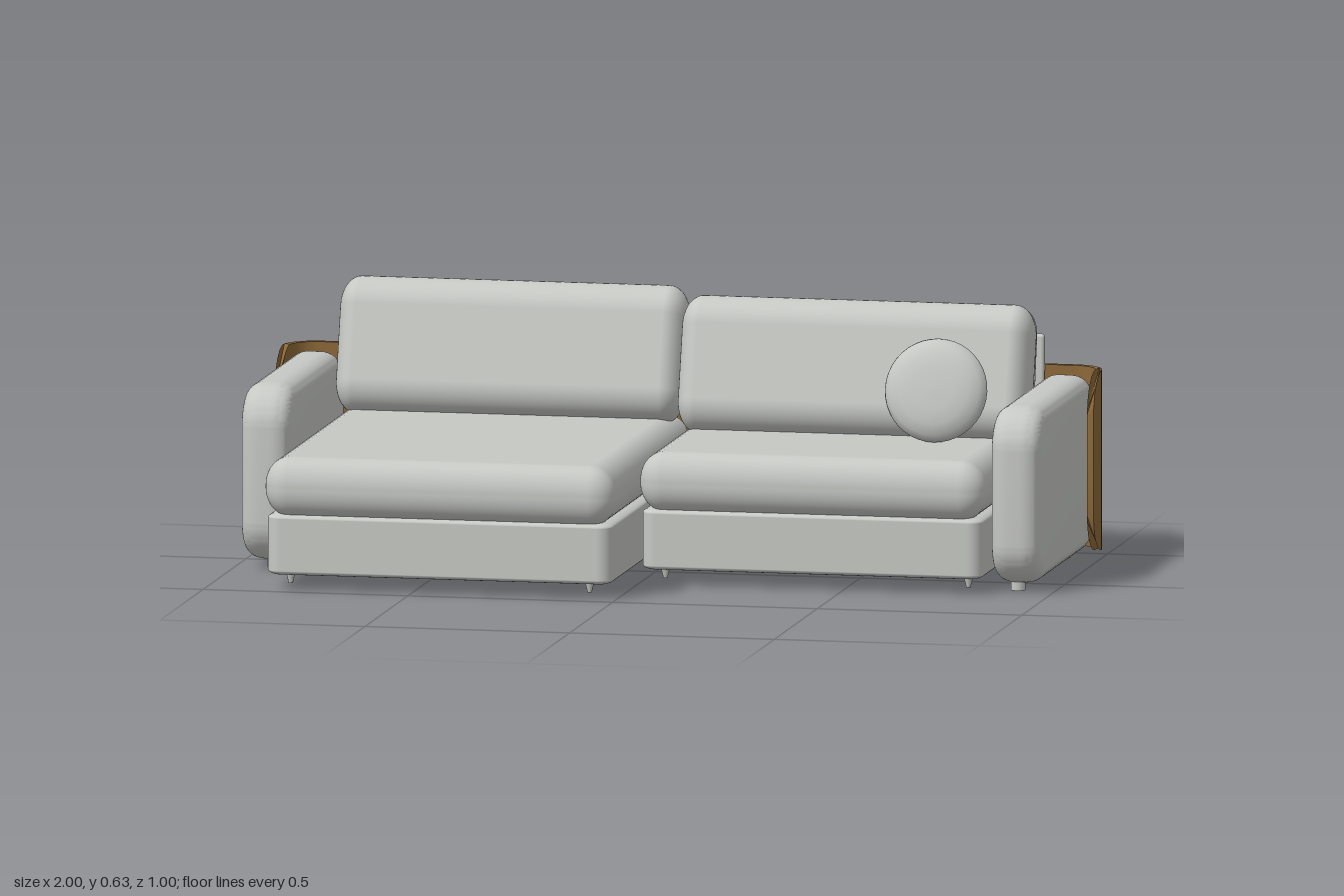
import * as THREE from 'three';
import { toCreasedNormals } from 'three/addons/utils/BufferGeometryUtils.js';
import { RoundedBoxGeometry } from 'three/addons/geometries/RoundedBoxGeometry.js';

// Box with a separate rounding radius along each axis
function softBox(w, h, d, rx, ry, rz) {
  return new RoundedBoxGeometry(w / rx, h / ry, d / rz, 6, 1).scale(rx, ry, rz);
}

// Armrest: rounded side profile, extruded across with a soft bevel
function armGeometry(width, height, depth, r) {
  const b = 0.036, w = depth / 2 - b, h = height / 2 - b, q = r - b;
  const s = new THREE.Shape();
  s.absarc(w - q, h - q, q, 0, Math.PI / 2);
  s.absarc(-w + q, h - q, q, Math.PI / 2, Math.PI);
  s.absarc(-w + q, -h + q, q, Math.PI, Math.PI * 1.5);
  s.absarc(w - q, -h + q, q, Math.PI * 1.5, Math.PI * 2);
  const t = 0.045;
  const g = new THREE.ExtrudeGeometry(s, {
    depth: width - 2 * t, bevelThickness: t, bevelSize: b, bevelSegments: 8, curveSegments: 10,
  });
  g.translate(0, 0, -(width - 2 * t) / 2).rotateY(-Math.PI / 2);
  return toCreasedNormals(g, 0.7);
}

// Half of the wooden back shell: a thin plan that wraps round the corner
function shellGeometry(side) {
  const back = -0.505, tip = -0.335, R = 0.08, T = 0.016, round = 0.095;
  const outer = [], inner = [];
  const add = (x, z, nx, nz) => {
    outer.push(new THREE.Vector2(side * x, z));
    inner.unshift(new THREE.Vector2(side * (x - nx * T), z - nz * T));
  };
  add(0.005, back, 0, -1);
  for (let i = 0; i <= 8; i++) {
    const a = (i / 8) * Math.PI / 2;
    add(1 - R + R * Math.sin(a), back + R - R * Math.cos(a), Math.sin(a), -Math.cos(a));
  }
  for (let i = 1; i <= 10; i++) {
    add(1, back + R + (tip - back - R) * Math.sin((i / 10) * Math.PI / 2), 1, 0);
  }
  const height = 0.435;
  const g = new THREE.ExtrudeGeometry(new THREE.Shape([...outer, ...inner]), { depth: height, bevelEnabled: false });
  g.rotateX(Math.PI / 2).translate(0, height / 2, 0);
  // Round the free upper and lower corners of the wrapped end
  const p = g.attributes.position;
  for (let i = 0; i < p.count; i++) {
    const u = Math.min(1, Math.max(0, (p.getZ(i) - tip + round) / round));
    const inset = round * (1 - Math.sqrt(1 - u * u));
    p.setY(i, Math.sign(p.getY(i)) * (height / 2 - inset));
  }
  g.translate(0, 0.02 + height / 2, 0);
  return toCreasedNormals(g, 0.6);
}

export function createModel() {
  const model = new THREE.Group();
  model.name = 'sofa';
  const fabric = new THREE.MeshStandardMaterial({ color: 0xc6c8c4 });
  fabric.name = 'light grey fabric';
  const wood = new THREE.MeshStandardMaterial({ color: 0x8c6839 });
  wood.name = 'brown wood';

  const add = (name, geometry, material, x, y, z, lean = 0) => {
    const m = new THREE.Mesh(geometry, material);
    m.name = name;
    m.position.set(x, y, z);
    m.rotation.x = -lean;
    model.add(m);
    return m;
  };

  // Shell halves, arms and their legs
  for (const side of [1, -1]) {
    const label = side > 0 ? 'left' : 'right';
    add(label + 'BackShell', shellGeometry(side), wood, 0, 0, 0);
    add(label + 'Arm', armGeometry(0.118, 0.427, 0.688, 0.1), fabric, side * 0.916, 0.2325, -0.144);
    for (const z of [0.105, -0.42]) {
      add(label + 'ArmLeg', new THREE.CylinderGeometry(0.018, 0.018, 0.03, 16), fabric, side * 0.908, 0.015, z);
    }
  }

  // Seat sections: the chaise is deeper than the seat
  const sections = [
    { name: 'chaise', x: -0.43, w: 0.855, front: 0.5, inner: -0.07, outer: -0.8 },
    { name: 'seat', x: 0.425, w: 0.845, front: 0.237, inner: 0.06, outer: 0.8 },
  ];
  for (const s of sections) {
    const backZ = -0.485, baseFront = s.front - 0.018, baseDepth = baseFront - backZ;
    add(s.name + 'Base', softBox(s.w - 0.012, 0.15, baseDepth, 0.035, 0.012, 0.035), fabric,
      s.x, 0.11, backZ + baseDepth / 2);
    const depth = s.front + 0.46;
    add(s.name + 'Cushion', softBox(s.w, 0.145, depth, 0.06, 0.068, 0.055), fabric,
      s.x, 0.248, s.front - depth / 2);
    add(s.name + 'BackLeg', new THREE.CylinderGeometry(0.018, 0.018, 0.04, 16), fabric, s.inner, 0.02, -0.42);
    // Small tapered feet under the front edge
    for (const x of [s.inner, s.outer]) {
      add(s.name + 'FrontFoot', new THREE.CylinderGeometry(0.012, 0.005, 0.028, 10), fabric,
        x, 0.026, s.front - 0.068);
    }
  }

  // Back cushions and the raised panel behind the seat
  add('chaiseBackCushion', softBox(0.85, 0.332, 0.152, 0.05, 0.075, 0.075), fabric, -0.428, 0.467, -0.385, 0.28);
  add('seatBackCushion', softBox(0.86, 0.332, 0.152, 0.05, 0.075, 0.075), fabric, 0.441, 0.467, -0.247, 0.28);
  add('rearBackCushion', softBox(0.84, 0.31, 0.125, 0.045, 0.062, 0.062), fabric, 0.428, 0.452, -0.375, 0.2);
  add('backPanel', softBox(0.83, 0.33, 0.018, 0.008, 0.008, 0.008), fabric, 0.435, 0.365, -0.476, 0.04);

  // Round scatter pillow with a domed face and full rim
  const profile = [[0, -0.042], [0.05, -0.041], [0.085, -0.036], [0.11, -0.025], [0.122, -0.011],
    [0.125, 0], [0.122, 0.011], [0.11, 0.025], [0.085, 0.036], [0.05, 0.041], [0, 0.042]];
  const pillow = new THREE.LatheGeometry(profile.map(([r, y]) => new THREE.Vector2(r, y)), 40);
  pillow.rotateX(Math.PI / 2);
  add('roundPillow', pillow, fabric, 0.662, 0.442, -0.112, 0.26);

  return model;
}
